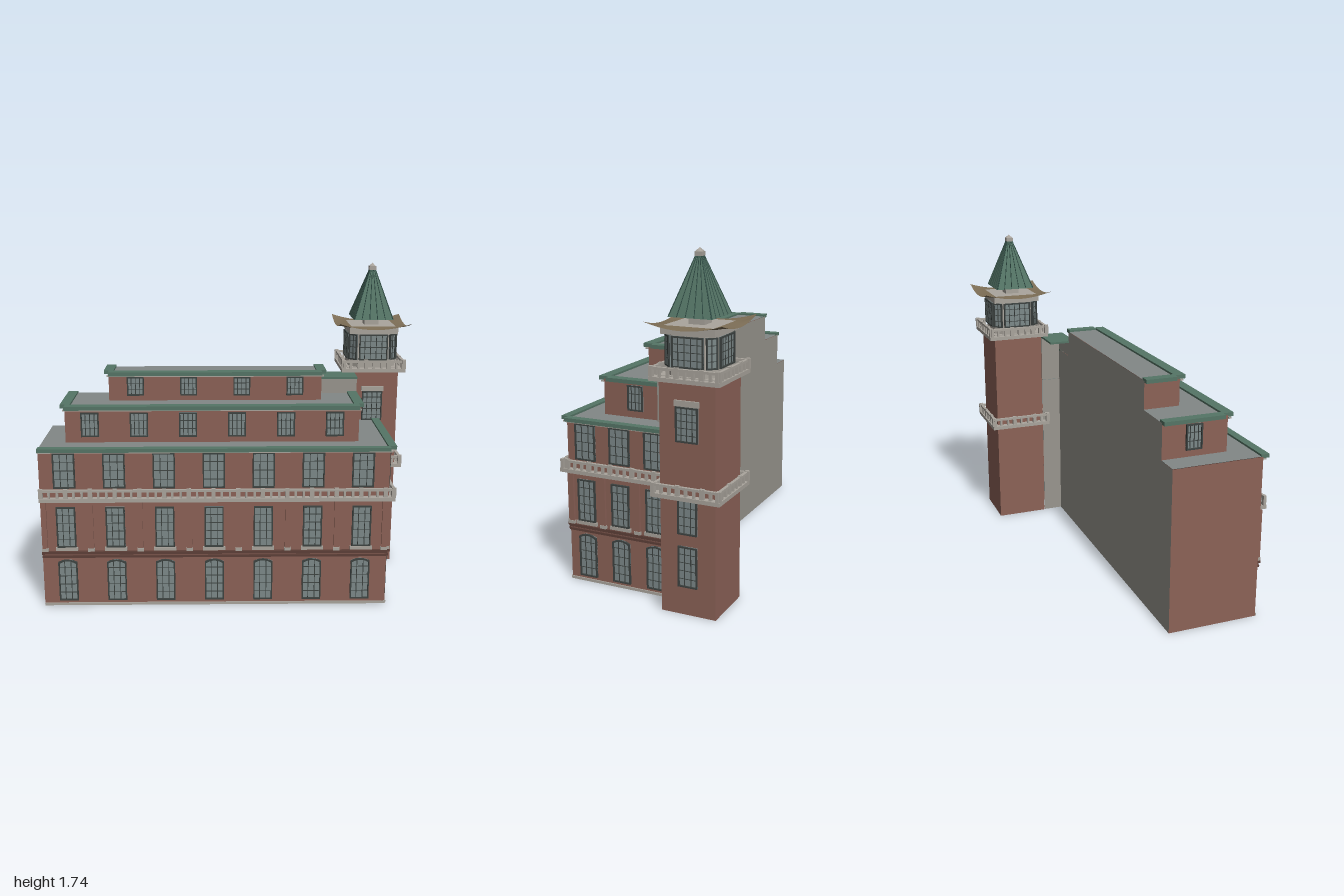
import * as THREE from 'three';

const mat = (name, color, side = THREE.FrontSide) => {
  const m = new THREE.MeshStandardMaterial({ color, side });
  m.name = name;
  return m;
};

export function createModel() {
  const D = THREE.DoubleSide;
  const brick = mat('brick', 0x8c6257, D), darkBrick = mat('dark brick', 0x5e4038);
  const stone = mat('stone', 0xaaa59d), render = mat('grey render', 0x99968e, D);
  const green = mat('green copper', 0x557566), darkGreen = mat('dark green seam', 0x34524a);
  const roofGrey = mat('roof grey', 0x828887, D), glass = mat('glass', 0x7d898a);
  const frame = mat('window frame', 0x3d4341), tan = mat('tan eave', 0x7d6e56, D);

  const root = new THREE.Group();
  root.name = 'building';

  const add = (parent, name, geo, m, x = 0, y = 0, z = 0) => {
    const mesh = new THREE.Mesh(geo, m);
    mesh.name = name;
    mesh.position.set(x, y, z);
    parent.add(mesh);
    return mesh;
  };
  // Box given by its two extremes on each axis
  const box = (parent, name, m, x0, x1, y0, y1, z0, z1) =>
    add(parent, name, new THREE.BoxGeometry(x1 - x0, y1 - y0, z1 - z0), m,
      (x0 + x1) / 2, (y0 + y1) / 2, (z0 + z1) / 2);
  // Facade group: local x runs along the wall, local +z points outwards
  const facade = (name, x, z, turn) => {
    const g = new THREE.Group();
    g.name = name;
    g.position.set(x, 0, z);
    g.rotation.y = turn * Math.PI / 2;
    root.add(g);
    return g;
  };
  const wall = (g, m, u0, u1, y0, y1) =>
    add(g, 'wall', new THREE.PlaneGeometry(u1 - u0, y1 - y0), m, (u0 + u1) / 2, (y0 + y1) / 2);
  const flat = (name, m, x0, x1, y, z0, z1) => {
    add(root, name, new THREE.PlaneGeometry(x1 - x0, z1 - z0), m, (x0 + x1) / 2, y, (z0 + z1) / 2)
      .rotation.x = -Math.PI / 2;
  };

  // Window opening outline, with an optional shallow arch
  const outline = (path, w, h, rise) => {
    path.moveTo(-w / 2, 0);
    path.lineTo(w / 2, 0);
    path.lineTo(w / 2, h - rise);
    if (rise) path.quadraticCurveTo(0, h + rise, -w / 2, h - rise);
    else path.lineTo(-w / 2, h);
    path.closePath();
    return path;
  };
  const extrude = (shape, depth) =>
    new THREE.ExtrudeGeometry(shape, { depth, bevelEnabled: false, curveSegments: 6 });
  const windowAt = (parent, u, y, w, h, cols, rows, rise = 0) => {
    const g = new THREE.Group();
    g.name = 'window';
    g.position.set(u, y, 0);
    parent.add(g);
    add(g, 'pane', extrude(outline(new THREE.Shape(), w, h, rise), 0.008), glass, 0, 0, -0.004);
    const t = 0.007, rim = outline(new THREE.Shape(), w, h, rise);
    const hole = outline(new THREE.Path(), w - 2 * t, h - 2 * t, rise);
    rim.holes.push(new THREE.Path(hole.getPoints(6).map(p => p.add(new THREE.Vector2(0, t)))));
    add(g, 'frame', extrude(rim, 0.012), frame);
    for (let i = 1; i < cols; i++)
      add(g, 'mullion', new THREE.BoxGeometry(0.004, h - 0.006, 0.008), frame, w * (i / cols - 0.5), h / 2, 0.003);
    for (let i = 1; i < rows; i++)
      add(g, 'glazing bar', new THREE.BoxGeometry(w - 0.004, 0.003, 0.007), frame, 0, h * i / rows, 0.003);
  };

  // Balustrade standing on a projecting ledge
  const balustrade = (g, u0, u1, y, out) => {
    box(g, 'ledge', stone, u0, u1, y, y + 0.02, 0, out);
    box(g, 'handrail', stone, u0, u1, y + 0.054, y + 0.066, out - 0.02, out - 0.004);
    const n = Math.round((u1 - u0) / 0.043);
    for (let i = 0; i <= n; i++) {
      const u = u0 + 0.008 + (u1 - u0 - 0.016) * i / n, post = i % 3 === 0 || i === n;
      const w = post ? 0.011 : 0.006;
      box(g, 'baluster', stone, u - w, u + w, y + 0.02, y + (post ? 0.07 : 0.056), out - 0.02, out - 0.005);
    }
  };

  // Three main storeys of one facade
  const storeys = (g, u0, u1, centres, piers) => {
    wall(g, brick, u0, u1, 0, 0.86);
    box(g, 'plinth', stone, u0, u1, 0, 0.014, 0, 0.006);
    box(g, 'lower belt', darkBrick, u0, u1, 0.272, 0.284, 0, 0.01);
    box(g, 'upper belt', darkBrick, u0, u1, 0.293, 0.308, 0, 0.016);
    for (const u of centres) {
      windowAt(g, u, 0.03, 0.1, 0.23, 3, 5, 0.014);
      windowAt(g, u, 0.33, 0.1, 0.222, 3, 5);
      windowAt(g, u, 0.655, 0.114, 0.188, 3, 4);
      box(g, 'sill', stone, u - 0.058, u + 0.058, 0.312, 0.33, 0, 0.014);
    }
    for (const u of piers) {
      box(g, 'pilaster', brick, u - 0.014, u + 0.014, 0.325, 0.58, 0, 0.012);
      box(g, 'pilaster base', stone, u - 0.017, u + 0.017, 0.308, 0.325, 0, 0.015);
    }
    balustrade(g, u0, u1 + (g.name === 'main front' ? 0.03 : 0), 0.585, 0.033);
  };
  const series = (n, start, step) => Array.from({ length: n }, (_, i) => start + i * step);

  // Main block
  const front = facade('main front', 0, 0.45, 0);
  storeys(front, -1, 0.81, series(7, -0.87, 0.257), [-0.984, ...series(6, -0.742, 0.257), 0.793]);
  const east = facade('main left side', 0.81, 0, 1);
  storeys(east, -0.45, 0.14, [-0.345, -0.15, 0.045], [-0.434, -0.25, -0.053, 0.124]);
  wall(facade('main right side', -1, 0, -1), brick, -0.03, 0.45, 0, 0.86);
  wall(facade('main back', 0, -0.03, 2), render, -0.66, 1, 0, 0.86);
  flat('main roof', roofGrey, -1, 0.81, 0.862, -0.03, 0.45);
  box(root, 'front cornice', green, -1, 0.808, 0.853, 0.872, 0.44, 0.483);
  box(root, 'front cornice moulding', stone, -1, 0.82, 0.845, 0.853, 0.45, 0.468);
  box(root, 'side cornice', green, 0.8, 0.843, 0.853, 0.872, -0.14, 0.445);
  box(root, 'side cornice moulding', stone, 0.81, 0.828, 0.845, 0.853, -0.14, 0.45);

  // Link between the main block and the tower
  wall(facade('link side', 0.66, 0, -1), render, -0.14, -0.03, 0, 0.86);
  flat('link roof', roofGrey, 0.66, 0.81, 0.862, -0.14, -0.03);
  box(root, 'link wall', render, 0.66, 0.69, 0.862, 1.13, -0.14, 0);
  box(root, 'link front', render, 0.47, 0.69, 1.05, 1.13, -0.03, 0);
  box(root, 'link cap', green, 0.465, 0.692, 1.13, 1.141, -0.145, 0.004);

  // Stepped upper storeys
  const tier = (name, x0, x1, y0, y1, zf, centres, wy, w, h, sideWindow) => {
    const f = facade(name + ' front', 0, zf, 0);
    wall(f, brick, x0, x1, y0, y1);
    centres.forEach(u => windowAt(f, u, wy, w, h, 4, 3));
    const l = facade(name + ' left side', x1, 0, 1), r = facade(name + ' right side', x0, 0, -1);
    wall(l, brick, -zf, 0.03, y0, y1);
    wall(r, brick, -0.03, zf, y0, y1);
    if (sideWindow) {
      windowAt(l, -0.137, wy + 0.005, 0.086, h, 4, 3);
      windowAt(r, 0.137, wy + 0.005, 0.086, h, 4, 3);
    }
    wall(facade(name + ' back', 0, -0.03, 2), render, -x1, -x0, y0, y1);
    flat(name + ' roof', roofGrey, x0, x1, y1 + 0.002, -0.03, zf);
    box(root, name + ' front cornice', green, x0, x1, y1 - 0.008, y1 + 0.012, zf - 0.025, zf + 0.03);
    box(root, name + ' moulding', stone, x0 - 0.01, x1 + 0.01, y1 - 0.016, y1 - 0.008, zf, zf + 0.014);
    for (const [a, b] of [[x0 - 0.027, x0 + 0.025], [x1 - 0.025, x1 + 0.027]])
      box(root, name + ' side cornice', green, a, b, y1 - 0.008, y1 + 0.012, -0.03, zf - 0.025);
  };
  tier('middle tier', -0.875, 0.662, 0.86, 1.048, 0.317, series(6, -0.745, 0.256), 0.893, 0.094, 0.13, true);
  tier('top tier', -0.658, 0.477, 1.048, 1.196, 0.16, series(4, -0.516, 0.2835), 1.078, 0.09, 0.1, false);

  // Tower shaft
  const cx = 0.8, cz = -0.287, half = 0.143;
  for (let k = 0; k < 4; k++) {
    const a = k * Math.PI / 2;
    const g = facade('tower face', cx + Math.sin(a) * half, cz + Math.cos(a) * half, k);
    wall(g, brick, -half, half, 0, 1.15);
    balustrade(g, -half - 0.035, half + 0.035, 0.585, 0.035);
    balustrade(g, -half - 0.035, half + 0.035, 1.142, 0.035);
    if (k > 1) continue;
    windowAt(g, 0, 0.145, 0.1, 0.205, 3, 5);
    windowAt(g, 0, 0.41, 0.1, 0.175, 3, 4);
    windowAt(g, 0, 0.86, 0.114, 0.168, 4, 5);
    box(g, 'lintel', stone, -0.063, 0.063, 1.03, 1.058, 0, 0.01);
  }

  // Lantern room with cut corners
  const tower = new THREE.Group();
  tower.name = 'tower top';
  tower.position.set(cx, 0, cz);
  root.add(tower);
  box(tower, 'deck', stone, -half, half, 1.14, 1.165, -half, half);
  const r = 0.13, c = 0.085;
  const plan = new THREE.Shape([[r, c], [c, r], [-c, r], [-r, c], [-r, -c], [-c, -r], [c, -r], [r, -c]]
    .map(p => new THREE.Vector2(...p)));
  add(tower, 'lantern', extrude(plan, 0.2), stone, 0, 1.16, 0).rotation.x = -Math.PI / 2;
  for (let k = 0; k < 8; k++) {
    const g = new THREE.Group(), a = k * Math.PI / 4, d = k % 2 ? (r + c) / Math.SQRT2 : r;
    g.name = 'lantern window';
    g.position.set(Math.sin(a) * d, 0, Math.cos(a) * d);
    g.rotation.y = a;
    tower.add(g);
    windowAt(g, 0, 1.205, k % 2 ? 0.056 : 0.16, 0.145, k % 2 ? 2 : 5, 4);
  }
  box(tower, 'lantern cornice', stone, -0.136, 0.136, 1.355, 1.392, -0.136, 0.136);

  // Eave with upswept corners
  for (let k = 0; k < 4; k++) {
    const geo = new THREE.PlaneGeometry(2, 1, 12, 4), p = geo.attributes.position;
    for (let i = 0; i < p.count; i++) {
      const t = p.getX(i), s = 0.5 - p.getY(i), h = 0.125 + 0.074 * s;
      p.setXYZ(i, t * h, 1.394 - 0.008 * s + 0.034 * t * t * s * s, h);
    }
    geo.computeVertexNormals();
    add(tower, 'eave', geo, tan).rotation.y = k * Math.PI / 2;
  }

  // Spire with standing seams
  const spire = new THREE.CylinderGeometry(0.014 * Math.SQRT2, 0.11 * Math.SQRT2, 0.275, 4, 1).toNonIndexed();
  spire.rotateY(Math.PI / 4);
  spire.computeVertexNormals();
  add(tower, 'spire', spire, green, 0, 1.5675, 0);
  box(tower, 'spire core', stone, -0.04, 0.04, 1.39, 1.435, -0.04, 0.04);
  for (let k = 0; k < 4; k++) {
    const g = new THREE.Group();
    g.name = 'spire seams';
    g.rotation.y = k * Math.PI / 2;
    tower.add(g);
    for (const f of [-0.98, -0.6, -0.2, 0.2, 0.6, 0.98]) {
      const seam = new THREE.LineCurve3(new THREE.Vector3(0.11 * f, 1.431, 0.11), new THREE.Vector3(0.014 * f, 1.704, 0.014));
      add(g, 'seam', new THREE.TubeGeometry(seam, 1, 0.0022, 4), darkGreen);
    }
  }
  box(tower, 'finial block', stone, -0.019, 0.019, 1.7, 1.72, -0.019, 0.019);
  add(tower, 'finial tip', new THREE.ConeGeometry(0.024, 0.018, 4).rotateY(Math.PI / 4), stone, 0, 1.729, 0);
  return root;
}
